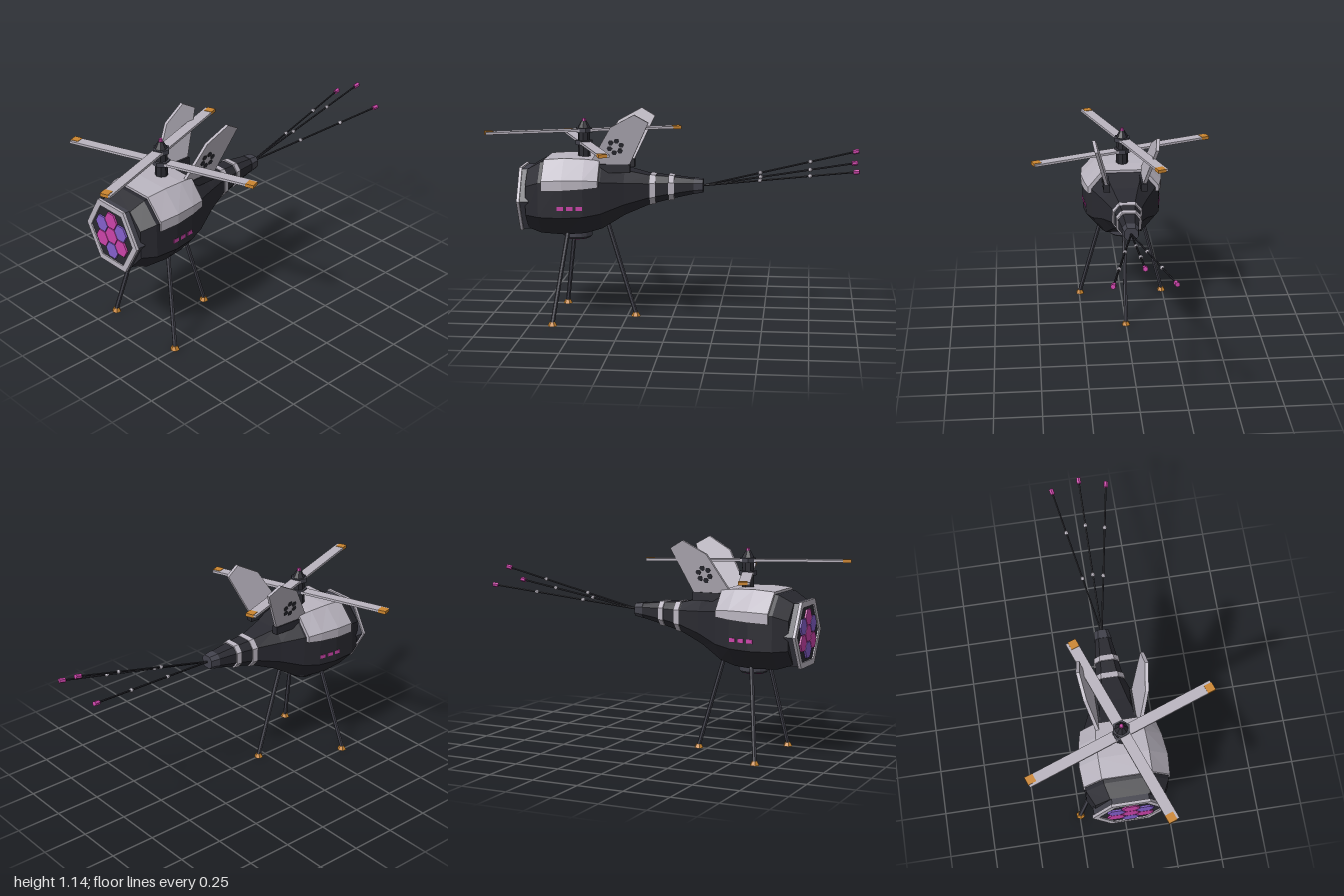
import * as THREE from 'three';

const mat = (name, color) => Object.assign(new THREE.MeshStandardMaterial({ color, flatShading: true }), { name });
const V = (x, y, z) => new THREE.Vector3(x, y, z);

// Loft through outlines (counter-clockwise seen from +z), listed front to back; ends capped in strips
function loft(sections) {
  const p = [], n = sections[0].length;
  const quad = (a, b, c, d) => p.push(...a, ...b, ...c, ...a, ...c, ...d);
  for (let s = 0; s < sections.length - 1; s++)
    for (let i = 0; i < n; i++) {
      const j = (i + 1) % n, a = sections[s], b = sections[s + 1];
      quad(a[i], b[i], b[j], a[j]);
    }
  const f = sections[0], e = sections[sections.length - 1];
  for (let i = 0; i < n / 2 - 1; i++) {
    quad(f[i], f[i + 1], f[n - 2 - i], f[n - 1 - i]);
    quad(e[n - 1 - i], e[n - 2 - i], e[i + 1], e[i]);
  }
  const g = new THREE.BufferGeometry();
  g.setAttribute('position', new THREE.Float32BufferAttribute(p, 3));
  g.computeVertexNormals();
  return g;
}

// Octagonal outline: half width, half height, centre height
function octagon([z, w, h, cy]) {
  const kx = w * 0.57, ky = h * 0.48;
  return [[w, -ky], [w, ky], [kx, h], [-kx, h], [-w, ky], [-w, -ky], [-kx, -h], [kx, -h]]
    .map(([x, y]) => [x, y + cy, z]);
}

// Hexagon with corners on +x and -x
function hexPath(r, Type = THREE.Shape, cx = 0, cy = 0) {
  const pts = [];
  for (let i = 0; i < 6; i++)
    pts.push(new THREE.Vector2(cx + r * Math.cos(i * Math.PI / 3), cy + r * Math.sin(i * Math.PI / 3)));
  return new Type(pts);
}
const slab = (shape, depth) => new THREE.ExtrudeGeometry(shape, { depth, bevelEnabled: false });

export function createModel() {
  const model = new THREE.Group();
  model.name = 'hexScoutCopter';
  const dark = mat('charcoal', 0x2a2a31), steel = mat('gunmetal', 0x42424c);
  const pale = mat('paleGrey', 0xbab5c0), orange = mat('orange', 0xcc862f);
  const pink = mat('magenta', 0xcc44aa), purple = mat('violet', 0x8560cc);

  function add(name, geo, material, pos = [0, 0, 0], parent = model) {
    const m = new THREE.Mesh(geo, material);
    m.name = name;
    m.position.set(...pos);
    parent.add(m);
    return m;
  }
  function rod(name, a, b, r, material, sides = 6) {
    const m = add(name, new THREE.CylinderGeometry(r, r, a.distanceTo(b), sides), material);
    m.position.copy(a).lerp(b, 0.5);
    m.quaternion.setFromUnitVectors(V(0, 1, 0), b.clone().sub(a).normalize());
    return m;
  }

  // Fuselage and tail boom
  add('fuselage', loft([
    [0.775, 0.178, 0.16, 0.67], [0.70, 0.215, 0.193, 0.68], [0.57, 0.222, 0.203, 0.683],
    [0.46, 0.208, 0.197, 0.685], [0.37, 0.178, 0.178, 0.69], [0.25, 0.125, 0.122, 0.706],
    [0.12, 0.077, 0.08, 0.718], [0, 0.06, 0.06, 0.73], [-0.14, 0.04, 0.037, 0.738],
  ].map(octagon)), dark);
  for (const [z, r, cy] of [[0.1, 0.082, 0.72], [0, 0.069, 0.73]])
    add('tailBand', loft([octagon([z + 0.015, r, r, cy]), octagon([z - 0.015, r - 0.004, r - 0.004, cy])]), pale);
  add('tailCap', loft([octagon([-0.12, 0.046, 0.042, 0.738]), octagon([-0.17, 0.037, 0.035, 0.739])]), steel);

  // Pale cowl wrapping the upper fuselage
  add('cowl', loft([
    [0.68, 0.225, 0.73, 0.785, 0.13, 0.888], [0.57, 0.232, 0.735, 0.79, 0.132, 0.896],
    [0.46, 0.219, 0.742, 0.79, 0.128, 0.893], [0.38, 0.2, 0.75, 0.785, 0.118, 0.884],
  ].map(([z, w, y0, y1, xt, yt]) => {
    const t = 0.03;
    const right = [[w, y0], [w, y1], [xt, yt]], inner = [[w - t, y0], [w - t, y1 - t / 2], [xt - t / 2, yt - t]];
    const flip = a => a.map(([x, y]) => [-x, y]);
    return [...right, ...flip(right).reverse(), ...flip(inner), ...inner.reverse()].map(([x, y]) => [x, y, z]);
  })), pale);

  // Hexagonal nose lens array
  const eyeY = 0.666;
  add('noseCollar', slab(hexPath(0.19), 0.05), steel, [0, eyeY, 0.757]);
  add('nosePanel', slab(hexPath(0.17), 0.008), dark, [0, eyeY, 0.805]);
  const rim = hexPath(0.2);
  rim.holes.push(hexPath(0.165, THREE.Path));
  add('noseRim', slab(rim, 0.016), pale, [0, eyeY, 0.804]);
  add('lensCentre', slab(hexPath(0.047), 0.009), pink, [0, eyeY, 0.813]);
  for (let i = 0; i < 6; i++) {
    const a = Math.PI / 6 + i * Math.PI / 3;
    add('lens', slab(hexPath(0.047), 0.009), i % 2 ? pink : purple,
      [0.086 * Math.cos(a), eyeY + 0.086 * Math.sin(a), 0.813]);
  }

  // Side marker lights
  for (const s of [1, -1])
    [[0.58, 0.219], [0.53, 0.215], [0.48, 0.209]].forEach(([z, x]) => {
      const light = add('sideLight', new THREE.BoxGeometry(0.009, 0.02, 0.034), pink, [s * x, 0.638, z]);
      light.rotation.y = s * 0.12;
    });

  // Belly sensor
  add('bellyTurret', new THREE.LatheGeometry([[0, 0.443], [0.068, 0.443], [0.079, 0.453], [0.079, 0.5], [0, 0.5]]
    .map(([x, y]) => new THREE.Vector2(x, y)), 16), steel, [0, 0, 0.52]);
  [[0.058, pink, 0.442], [0.042, dark, 0.44], [0.034, purple, 0.438], [0.014, pink, 0.436]].forEach(([r, m, y]) =>
    add('bellyLens', new THREE.CylinderGeometry(r, r, 0.006, 12), m, [0, y, 0.52]));

  // Tripod legs with feet
  for (const [a, b] of [
    [V(0.12, 0.51, 0.552), V(0.245, 0.015, 0.625)],
    [V(-0.12, 0.51, 0.552), V(-0.245, 0.015, 0.625)],
    [V(0, 0.53, 0.355), V(0, 0.015, 0.202)],
  ]) {
    rod('leg', a, b, 0.012, steel);
    add('foot', new THREE.CylinderGeometry(0.015, 0.026, 0.022, 6), orange, [b.x, 0.011, b.z]);
  }

  // Mast, hubs and beacon
  const mz = 0.48;
  add('mast', new THREE.CylinderGeometry(0.032, 0.034, 0.18, 8), dark, [0, 0.96, mz]);
  add('mastCone', new THREE.CylinderGeometry(0.014, 0.035, 0.036, 8), dark, [0, 1.066, mz]);
  add('beacon', new THREE.CylinderGeometry(0.01, 0.012, 0.016, 6), pink, [0, 1.09, mz]);

  // Two crossed rotors
  for (const [y, deg] of [[0.967, 20], [1.034, -70]]) {
    const rotor = new THREE.Group();
    rotor.name = 'rotor';
    rotor.position.set(0, y, mz);
    rotor.rotation.y = THREE.MathUtils.degToRad(deg);
    model.add(rotor);
    add('rotorHub', new THREE.CylinderGeometry(0.047, 0.047, 0.024, 6), steel, [0, 0, 0], rotor);
    add('rotorBlade', new THREE.BoxGeometry(1.07, 0.013, 0.058), pale, [0, 0, 0], rotor);
    for (const s of [1, -1])
      add('bladeTip', new THREE.BoxGeometry(0.045, 0.018, 0.045), orange, [s * 0.515, 0, s * 0.007], rotor);
  }

  // Canted tail fins; geometry is drawn in profile, then leaned outwards
  const lean = (geo, off) => {
    geo.rotateY(Math.PI / 2);
    const p = geo.attributes.position;
    for (let i = 0; i < p.count; i++) p.setX(i, p.getX(i) + off + 0.108 + (p.getY(i) - 0.87) * 0.25);
    geo.computeVertexNormals();
    return geo;
  };
  for (const s of [1, -1]) {
    const fin = new THREE.Group();
    fin.name = s > 0 ? 'leftFin' : 'rightFin';
    fin.scale.x = s;
    model.add(fin);
    const profile = new THREE.Shape([[-0.437, 0.86], [-0.22, 0.86], [-0.11, 1.097], [-0.185, 1.14], [-0.313, 1.07]]
      .map(([x, y]) => new THREE.Vector2(x, y)));
    add('finBlade', lean(slab(profile, 0.018), -0.009), pale, [0, 0, 0], fin);
    add('finRoot', new THREE.BoxGeometry(0.035, 0.045, 0.175), dark, [0.104, 0.843, 0.303], fin);
    // Ring of dark vent dots on the outer face
    for (let i = 0; i < 6; i++) {
      const a = i * Math.PI / 3 + 0.3;
      const dot = hexPath(0.015, THREE.Shape, -0.29 + 0.033 * Math.cos(a), 0.963 + 0.033 * Math.sin(a));
      add('finVent', lean(slab(dot, 0.004), 0.008), dark, [0, 0, 0], fin);
    }
  }

  // Trailing antennae with beads and lit tips
  const root = V(0, 0.739, -0.165);
  for (const end of [V(0, 0.936, -0.985), V(0.15, 0.85, -0.985), V(-0.15, 0.85, -0.985)]) {
    rod('antenna', root, end, 0.005, dark);
    for (const t of [0.38, 0.705])
      add('antennaBead', new THREE.IcosahedronGeometry(0.012, 1), pale, root.clone().lerp(end, t).toArray());
    rod('antennaTip', root.clone().lerp(end, 0.98), root.clone().lerp(end, 1.018), 0.013, pink);
  }
  return model;
}
